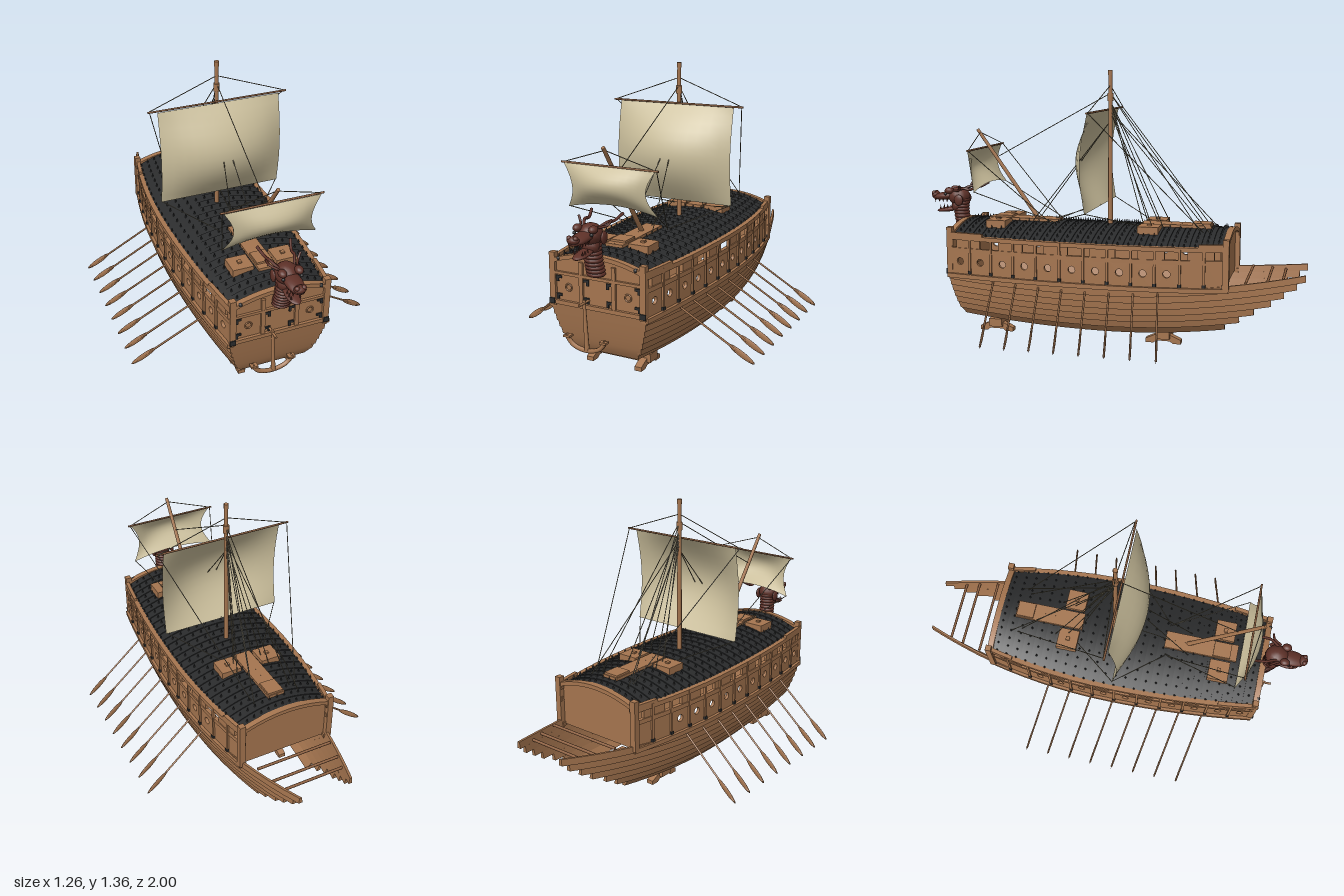
import * as THREE from 'three';
import { mergeGeometries, toCreasedNormals } from 'three/addons/utils/BufferGeometryUtils.js';

const paint = (name, color) => {
  const m = new THREE.MeshStandardMaterial({ color, side: THREE.DoubleSide });
  m.name = name;
  return m;
};

// Hull lines: half-widths and heights along z
const sheerW = z => 0.31 - (z > 0 ? 0.095 : 0.17) * z * z;
const keelW = z => 0.2 - (z > 0 ? 0.07 : 0.12) * z * z;
const sheerY = z => 0.3 + (z > 0 ? 0.035 : 0.085) * z * z;
const keelY = z => 0.06 + (z > 0 ? 0.06 : 0.1) * z * z;
const bowZ = t => 0.74 + 0.06 * Math.pow(t, 0.6);
const hullPoint = (z, t) => [
  keelW(z) + (sheerW(z) - keelW(z)) * Math.pow(t, 0.6),
  keelY(z) + (sheerY(z) - keelY(z)) * t, z];

// Joins cross-sections; ring sections are closed and capped
function loft(sections, ring = true) {
  const pos = [], n = sections[0].length;
  const quad = (a, b, c, d) => pos.push(...a, ...b, ...c, ...a, ...c, ...d);
  for (let i = 0; i + 1 < sections.length; i++) {
    const a = sections[i], b = sections[i + 1];
    for (let j = 0; j < (ring ? n : n - 1); j++) quad(a[j], b[j], b[(j + 1) % n], a[(j + 1) % n]);
  }
  if (ring) for (const s of [sections[0], sections.at(-1).slice().reverse()])
    for (let j = 1; j + 1 < n; j++) pos.push(...s[0], ...s[j], ...s[j + 1]);
  const g = new THREE.BufferGeometry();
  g.setAttribute('position', new THREE.Float32BufferAttribute(pos, 3));
  return toCreasedNormals(g, 0.5);
}

// Board that follows the side of the ship
function strip(s, z0, z1, y0, y1, off, thick) {
  const n = Math.max(1, Math.ceil(Math.abs(z1 - z0) / 0.1)), sec = [];
  for (let i = 0; i <= n; i++) {
    const z = z0 + (z1 - z0) * i / n, x = sheerW(z) + off;
    sec.push([[s * x, y0, z], [s * x, y1, z], [s * (x - thick), y1, z], [s * (x - thick), y0, z]]);
  }
  return loft(sec);
}

function box(w, h, d, x, y, z) {
  return new THREE.BoxGeometry(w, h, d).translate(x, y, z).toNonIndexed();
}

// Round bar between two points
function bar(a, b, r0, r1 = r0, sides = 8) {
  const A = new THREE.Vector3(...a), B = new THREE.Vector3(...b), dir = B.clone().sub(A);
  const g = new THREE.CylinderGeometry(r1, r0, dir.length(), sides);
  g.applyQuaternion(new THREE.Quaternion().setFromUnitVectors(new THREE.Vector3(0, 1, 0), dir.normalize()));
  return g.translate(...A.add(B).multiplyScalar(0.5).toArray()).toNonIndexed();
}

function ball(rx, ry, rz, x, y, z, tilt = 0) {
  return new THREE.SphereGeometry(1, 14, 10).scale(rx, ry, rz).rotateX(tilt).translate(x, y, z).toNonIndexed();
}

function tube(points, r, sides = 6) {
  const c = new THREE.CatmullRomCurve3(points.map(p => new THREE.Vector3(...p)));
  return new THREE.TubeGeometry(c, 20, r, sides).toNonIndexed();
}

export function createModel() {
  const wood = paint('wood', 0xa5754f), spar = paint('dark wood', 0x8d6040);
  const iron = paint('black iron', 0x2a2b2c), canvas = paint('canvas', 0xcabe9b);
  const rope = paint('rope', 0x6f6853), red = paint('red brown', 0x5e3128);
  const model = new THREE.Group();
  const add = (name, mat, geos) => {
    const list = [].concat(geos).map(g => { const c = g.index ? g.toNonIndexed() : g; c.deleteAttribute('uv'); return c; });
    const m = new THREE.Mesh(mergeGeometries(list), mat);
    m.name = name;
    model.add(m);
  };
  const sides = [1, -1];

  // Overlapping hull planks, each longer towards the stern than the one below
  const ends = [-0.62, -0.69, -0.76, -0.84, -0.9, -0.96, -1];
  const planks = [];
  for (const s of sides) ends.forEach((zEnd, i) => {
    const sec = [], t0 = i / 7, t1 = (i + 1) / 7;
    for (let k = 0; k <= 20; k++) {
      const at = (t, o) => {
        const [x, y, z] = hullPoint(zEnd + (bowZ(t) - zEnd) * k / 20, t);
        return [s * (x + o), y, z];
      };
      sec.push([at(t0, 0.008), at(t1, 0), at(t1, -0.012), at(t0, -0.012)]);
    }
    planks.push(loft(sec));
  });
  add('hullPlanks', wood, planks);

  // Bow transom
  const rows = [];
  for (let i = 0; i <= 8; i++) {
    const [x, y, z] = hullPoint(bowZ(i / 8), i / 8);
    rows.push([[-x, y, z], [x, y, z], [x, y, z - 0.02], [-x, y, z - 0.02]]);
  }
  add('bowTransom', wood, loft(rows));

  // Bow and stern bulkheads with arched tops
  const bulkhead = (z, w) => {
    const sh = new THREE.Shape();
    sh.moveTo(-w, 0.31); sh.lineTo(w, 0.31); sh.lineTo(w, 0.51);
    sh.quadraticCurveTo(0, 0.6, -w, 0.51);
    return new THREE.ExtrudeGeometry(sh, { depth: 0.02, bevelEnabled: false, curveSegments: 16 }).translate(0, 0, z);
  };
  add('bulkheads', wood, [bulkhead(0.77, 0.24), bulkhead(-0.62, 0.235)]);
  const arch = z => {
    const sec = [];
    for (let i = 0; i <= 16; i++) {
      const x = -0.25 + i / 32, y = 0.505 + 0.05 * (1 - (x / 0.25) ** 2);
      sec.push([[x, y, z], [x, y + 0.02, z], [x, y + 0.02, z + 0.03], [x, y, z + 0.03]]);
    }
    return loft(sec);
  };
  const trim = [arch(0.775), arch(-0.64)];
  for (const s of sides) {
    trim.push(box(0.03, 0.25, 0.03, s * 0.235, 0.435, 0.79), box(0.03, 0.25, 0.03, s * 0.24, 0.435, -0.63));
    trim.push(box(0.02, 0.2, 0.012, s * 0.085, 0.43, 0.795));
    trim.push(new THREE.TorusGeometry(0.016, 0.004, 6, 16).translate(s * 0.155, 0.4, 0.792));
  }
  trim.push(box(0.47, 0.014, 0.014, 0, 0.465, 0.795), box(0.47, 0.02, 0.014, 0, 0.325, 0.797));
  add('bulkheadFrames', wood, trim);

  // Side walls: porthole bays below, gun windows above
  const ports = [0.73, 0.615, 0.49, 0.37, 0.245, 0.12, 0, -0.12, -0.235, -0.35, -0.475, -0.58];
  const windows = [[0.77, 0.75], [0.615, 0.51], [0.38, 0.265], [0.14, 0.03], [-0.1, -0.21], [-0.34, -0.45], [-0.575, -0.605]];
  const wall = [], frame = [], brackets = [];
  for (const s of sides) {
    ports.forEach((p, i) => {
      const z1 = i ? (p + ports[i - 1]) / 2 : 0.79, z0 = i < 11 ? (p + ports[i + 1]) / 2 : -0.62;
      const sh = new THREE.Shape();
      sh.moveTo(z0, 0.295); sh.lineTo(z1, 0.295); sh.lineTo(z1, 0.45); sh.lineTo(z0, 0.45);
      if (i < 10) sh.holes.push(new THREE.Path().absarc(p, 0.387, 0.018, 0, Math.PI * 2, true));
      const g = new THREE.ExtrudeGeometry(sh, { depth: 0.015, bevelEnabled: false, curveSegments: 10 }).toNonIndexed?.() ;
      const a = g.attributes.position;
      for (let k = 0; k < a.count; k++) {
        const z = a.getX(k);
        a.setXYZ(k, s * (sheerW(z) - 0.02 + a.getZ(k)), a.getY(k), z);
      }
      g.computeVertexNormals();
      wall.push(g);
      frame.push(strip(s, z0 - 0.006, z0 + 0.006, 0.3, 0.52, 0.003, 0.014));
      brackets.push(strip(s, z0 - 0.008, z0 + 0.008, 0.325, 0.34, 0.006, 0.01));
    });
    const edges = [0.79, ...windows.flat(), -0.62];
    for (let i = 0; i < edges.length; i += 2) wall.push(strip(s, edges[i], edges[i + 1], 0.44, 0.51, -0.005, 0.015));
    frame.push(strip(s, 0.8, -0.64, 0.435, 0.457, 0, 0.02), strip(s, 0.8, -0.64, 0.498, 0.52, 0.002, 0.025));
    frame.push(strip(s, 0.8, -0.64, 0.3, 0.322, 0.01, 0.035));
    frame.push(strip(s, 0.8, 0.6, 0.515, 0.535, 0.002, 0.02), strip(s, -0.5, -0.64, 0.515, 0.535, 0.002, 0.02));
  }
  add('sideWalls', wood, wall);
  add('wallFrames', wood, frame);

  // Iron corner plates on the bow
  for (const s of sides) for (const x of [0.205, 0.06]) for (const [y, d] of [[0.445, -1], [0.36, -1]]) {
    brackets.push(box(0.028, 0.012, 0.006, s * x, y, 0.794), box(0.012, 0.028, 0.006, s * (x + (x > 0.1 ? 0.008 : -0.008)), y + d * 0.008, 0.794));
  }
  for (const s of sides) brackets.push(box(0.028, 0.026, 0.008, s * 0.237, 0.33, 0.806), ball(0.01, 0.01, 0.01, s * 0.2, 0.535, 0.8));
  add('ironBrackets', iron, brackets);

  // Tiled roof with rows of spikes
  const roofY = (x, z) => 0.512 + 0.058 * (1 - (x / (sheerW(z) - 0.012)) ** 2);
  const roof = [], spikes = [];
  for (let i = 0; i < 26; i++) {
    const z0 = 0.775 - i * 0.0535, z1 = z0 - 0.0535;
    const row = (z, lift) => Array.from({ length: 13 }, (_, k) => {
      const x = (k / 6 - 1) * (sheerW(z) - 0.012);
      return [x, roofY(x, z) + lift, z];
    });
    roof.push(loft([row(z0, 0), row(z1, 0.005), row(z1, 0)], false));
    const zm = (z0 + z1) / 2;
    for (let k = -6; k <= 6; k++) {
      const x = k / 6.3 * (sheerW(zm) - 0.012);
      spikes.push(new THREE.ConeGeometry(0.006, 0.02, 5).translate(x, roofY(x, zm) + 0.011, zm));
    }
  }
  add('roof', iron, roof);
  add('roofSpikes', iron, spikes);

  // Roof walkways and hatches
  const hatch = [box(0.09, 0.014, 0.38, 0, 0.581, 0.46), box(0.09, 0.014, 0.36, 0, 0.581, -0.35),
    box(0.08, 0.012, 0.09, 0, 0.592, 0.57), box(0.08, 0.012, 0.09, 0, 0.592, -0.48)];
  for (const s of sides) for (const z of [0.57, -0.23]) {
    hatch.push(box(0.105, 0.05, 0.105, s * 0.11, 0.565, z), box(0.02, 0.012, 0.02, s * 0.11, 0.592, z));
  }
  add('roofHatches', wood, hatch);

  // Open stern crossbars
  add('sternCrossbars', spar, [[-0.72, 0.2], [-0.82, 0.18], [-0.89, 0.16]].map(([z, x]) => bar([-x, 0.345, z], [x, 0.345, z], 0.007)));

  // Masts and yards
  add('mainMast', wood, [bar([0, 0.5, 0], [0, 1.35, 0], 0.013, 0.01), bar([0, 1.2, 0], [0, 1.24, 0], 0.016), bar([0, 1.33, 0], [0, 1.355, 0], 0.012)]);
  add('foreMast', wood, bar([0, 0.56, 0.375], [0, 1.045, 0.725], 0.012, 0.009));
  add('yards', spar, [bar([-0.36, 1.155, 0.025], [0.36, 1.155, 0.025], 0.005), bar([-0.25, 0.953, 0.68], [0.25, 0.953, 0.68], 0.005)]);

  // Billowing sails
  const sail = f => {
    const sec = [];
    for (let j = 0; j <= 12; j++) sec.push(Array.from({ length: 13 }, (_, i) => f(i / 6 - 1, j / 12)));
    return loft(sec, false);
  };
  add('mainSail', canvas, sail((u, t) => [u * 0.315, 1.152 - 0.487 * t, 0.035 + 0.015 * t + (0.03 + 0.09 * (1 - u * u)) * Math.sin(Math.PI * t)]));
  add('foreSail', canvas, sail((u, t) => [u * (0.235 - 0.045 * Math.sin(Math.PI * t)),
    0.95 - (0.18 + 0.03 * u * u) * t, 0.685 - 0.03 * t + (0.02 + 0.045 * (1 - u * u)) * Math.sin(Math.PI * t)]));

  // Rigging
  const lines = [[[0, 1.24, 0], [0, 0.9, 0.62]], [[0, 0.67, 0.05], [0, 0.585, 0.3]]];
  for (const s of sides) {
    for (const [x, z, y] of [[0.05, -0.19, 1.2], [0.08, -0.24, 1.15], [0.09, -0.3, 1.2], [0.1, -0.48, 1.24], [0.12, -0.53, 1.15]])
      lines.push([[0, y, 0], [s * x, 0.57, z]]);
    lines.push([[0, 1.28, 0], [s * 0.35, 1.157, 0.02]], [[s * 0.31, 0.667, 0.05], [s * 0.09, 0.58, 0.28]],
      [[s * 0.31, 0.667, 0.05], [s * 0.1, 0.58, -0.2]], [[s * 0.35, 1.155, 0.02], [s * 0.12, 0.57, -0.5]],
      [[0, 1.03, 0.71], [s * 0.24, 0.953, 0.68]], [[s * 0.23, 0.743, 0.655], [s * 0.08, 0.58, 0.28]],
      [[s * 0.24, 0.953, 0.68], [s * 0.09, 0.58, 0.3]], [[0, 1.1, 0], [s * 0.06, 0.58, 0.4]]);
  }
  add('rigging', rope, lines.map(([a, b]) => bar(a, b, 0.0022, 0.0022, 5)));

  // Oars, eight to a side
  const oars = [];
  for (const s of sides) for (let i = 0; i < 8; i++) {
    const z = -0.37 + i * 0.121, end = [s * 0.62, 0.065, z];
    oars.push(bar([s * 0.27, 0.305, z + 0.065], end, 0.005, 0.005, 6));
    oars.push(new THREE.SphereGeometry(1, 10, 8).scale(0.075, 0.015, 0.005)
      .rotateZ(-s * 0.6).rotateY(s * 0.17).translate(s * 0.568, 0.1, z + 0.009));
  }
  add('oars', wood, oars);

  // Anchor hung at the bow
  add('anchor', wood, [bar([-0.04, 0.13, 0.83], [-0.05, 0.37, 0.83], 0.012, 0.007),
    bar([-0.05, 0.355, 0.79], [-0.05, 0.355, 0.87], 0.006),
    tube([[-0.15, 0.19, 0.83], [-0.115, 0.148, 0.83], [-0.045, 0.13, 0.83], [0.025, 0.148, 0.83], [0.06, 0.19, 0.83]], 0.011),
    box(0.035, 0.01, 0.03, -0.14, 0.185, 0.83), box(0.035, 0.01, 0.03, 0.05, 0.185, 0.83)]);

  // Dragon figurehead
  const neck = [];
  for (let i = 0; i < 11; i++) {
    const t = i / 10;
    neck.push(ball(0.046 - 0.004 * t, 0.018, 0.043, 0, 0.495 + 0.175 * t, 0.802 + 0.025 * Math.sin(t * 2.2)));
  }
  add('figureheadNeck', red, neck);
  const head = [ball(0.055, 0.05, 0.06, 0, 0.685, 0.84), ball(0.042, 0.022, 0.085, 0, 0.685, 0.91, 0.12),
    ball(0.034, 0.013, 0.07, 0, 0.612, 0.9, 0.15), ball(0.045, 0.04, 0.035, 0, 0.635, 0.845), ball(0.03, 0.018, 0.022, 0, 0.69, 0.975)];
  for (const s of sides) {
    head.push(ball(0.02, 0.018, 0.025, s * 0.04, 0.718, 0.88), ball(0.012, 0.011, 0.012, s * 0.016, 0.7, 0.98),
      ball(0.01, 0.03, 0.025, s * 0.056, 0.67, 0.82),
      tube([[s * 0.035, 0.715, 0.84], [s * 0.06, 0.735, 0.79], [s * 0.065, 0.73, 0.75], [s * 0.082, 0.755, 0.7]], 0.007),
      tube([[s * 0.045, 0.72, 0.85], [s * 0.07, 0.725, 0.81], [s * 0.085, 0.75, 0.8]], 0.006));
    for (let i = 0; i < 4; i++) {
      head.push(new THREE.ConeGeometry(0.006, 0.024, 5).rotateX(Math.PI).translate(s * 0.027, 0.662, 0.9 + i * 0.022));
      if (i < 3) head.push(new THREE.ConeGeometry(0.005, 0.02, 5).translate(s * 0.022, 0.627, 0.9 + i * 0.02));
    }
  }
  add('figureheadHead', red, head);
  add('figureheadEyes', iron, sides.map(s => ball(0.008, 0.008, 0.008, s * 0.044, 0.7, 0.9)));

  // Display stands
  const stand = [];
  for (const z of [0.58, -0.31]) {
    stand.push(box(0.33, 0.042, 0.07, 0, 0.046, z));
    for (const s of sides) {
      const sh = new THREE.Shape([[-0.09, 0], [-0.05, 0], [-0.035, 0.012], [0.035, 0.012], [0.05, 0], [0.09, 0],
        [0.09, 0.02], [0.035, 0.045], [-0.035, 0.045], [-0.09, 0.02]].map(p => new THREE.Vector2(...p)));
      stand.push(new THREE.ExtrudeGeometry(sh, { depth: 0.036, bevelEnabled: false }).translate(0, 0, -0.018)
        .rotateY(Math.PI / 2).translate(s * 0.13, 0, z));
    }
  }
  add('stands', wood, stand);
  return model;
}
